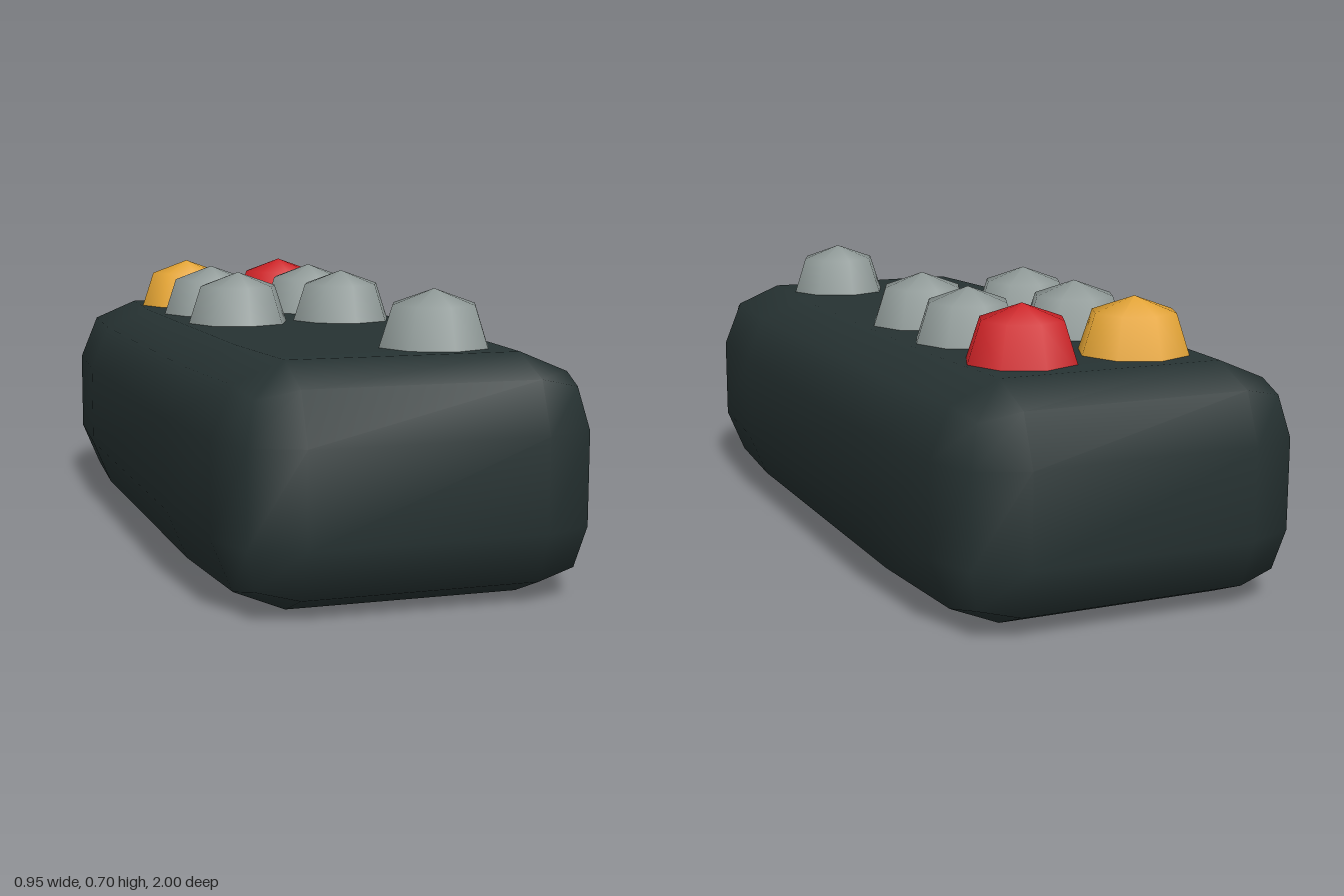
import * as THREE from 'three';
import { mergeVertices } from 'three/addons/utils/BufferGeometryUtils.js';

const mat = (name, color) => {
  const m = new THREE.MeshStandardMaterial({ color });
  m.name = name;
  return m;
};

// Rounded slab: each outer grid layer is pulled onto a radius around an inner core
function bodyGeometry() {
  const r = 0.17, height = 0.56;
  const box = new THREE.BoxGeometry(3, 3, 5, 3, 3, 5);
  box.deleteAttribute('normal');
  box.deleteAttribute('uv');
  const geo = mergeVertices(box);
  const pos = geo.attributes.position;
  const p = new THREE.Vector3(), dir = new THREE.Vector3();
  for (let i = 0; i < pos.count; i++) {
    p.fromBufferAttribute(pos, i);
    const outer = (v, limit) => (Math.abs(v) > limit ? Math.sign(v) : 0);
    dir.set(outer(p.x, 1), outer(p.y, 1), outer(p.z, 2)).normalize().multiplyScalar(r);
    // The middle of the slab is slightly wider than its ends
    const middle = Math.abs(p.z) < 1;
    p.set(
      Math.sign(p.x) * (middle ? 0.305 : 0.28),
      height / 2 + Math.sign(p.y) * (height / 2 - r),
      Math.sign(p.z) * (middle ? 0.5 : 0.83)
    ).add(dir);
    pos.setXYZ(i, p.x, p.y, p.z);
  }
  geo.computeVertexNormals();
  return geo;
}

export function createModel() {
  const model = new THREE.Group();
  model.name = 'remoteControl';
  const dark = mat('darkCasing', 0x263232);
  const grey = mat('greyButton', 0x8c9694);
  const amber = mat('amberButton', 0xe2a334);
  const red = mat('redButton', 0xcc2226);

  const body = new THREE.Mesh(bodyGeometry(), dark);
  body.name = 'body';
  model.add(body);

  // Eight-sided domed buttons, slightly sunk into the casing
  const profile = [[0.145, 0.537], [0.104, 0.659], [0, 0.696]];
  const dome = new THREE.LatheGeometry(profile.map(([x, y]) => new THREE.Vector2(x, y)), 8);
  const buttons = [
    ['amberButton', -0.15, -0.655, amber],
    ['redButton', 0.145, -0.655, red],
    ['upperRightButton', -0.15, -0.345, grey],
    ['upperLeftButton', 0.145, -0.345, grey],
    ['lowerRightButton', -0.15, -0.045, grey],
    ['lowerLeftButton', 0.145, -0.045, grey],
    ['frontButton', 0.135, 0.665, grey],
  ];
  for (const [name, x, z, material] of buttons) {
    const button = new THREE.Mesh(dome, material);
    button.name = name;
    button.position.set(x, 0, z);
    model.add(button);
  }
  return model;
}
